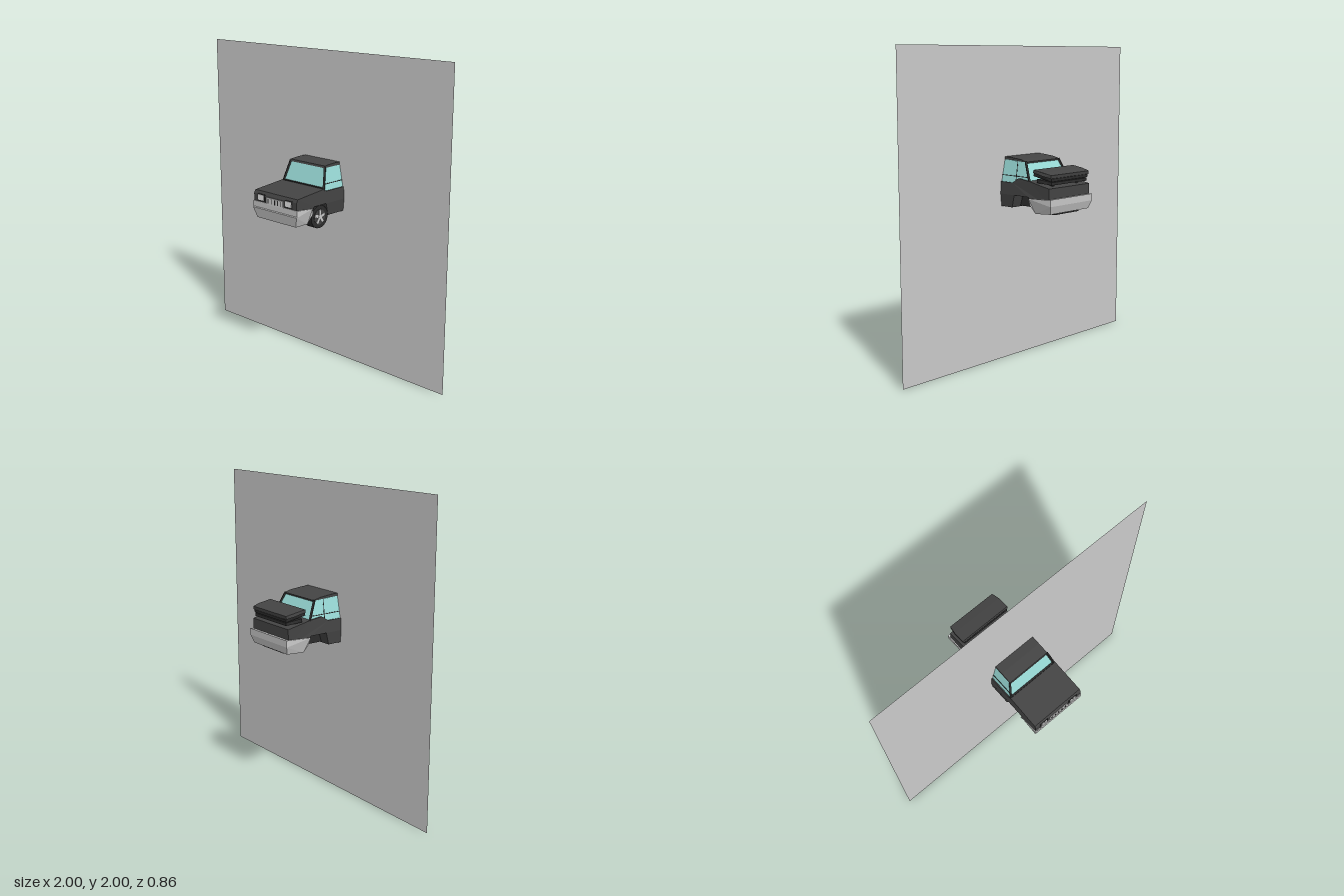
import * as THREE from 'three';

const mat = (name, color, side = THREE.FrontSide) => {
  const m = new THREE.MeshStandardMaterial({ color, side });
  m.name = name;
  return m;
};

export function createModel() {
  const paint = mat('charcoalPaint', 0x444444);
  const dark = mat('blackTrim', 0x2c2c2c);
  const silver = mat('silver', 0xcccccc);
  const lamp = mat('lampWhite', 0xe6e6e6);
  const glass = mat('tealGlass', 0x9adcd8);
  const panel = mat('panelGrey', 0xcccccc, THREE.DoubleSide);

  const car = new THREE.Group();
  car.name = 'carOnPanel';

  const add = (name, geometry, material, x = 0, y = 0, z = 0, parent = car) => {
    const mesh = new THREE.Mesh(geometry, material);
    mesh.name = name;
    mesh.position.set(x, y, z);
    parent.add(mesh);
    return mesh;
  };
  const box = (name, w, h, d, material, x, y, z, parent) =>
    add(name, new THREE.BoxGeometry(w, h, d), material, x, y, z, parent);

  // Side outline of [z, y] points swept across x; widthAt(y, z) scales the width
  const sweep = (name, outline, width, material, widthAt = () => 1) => {
    const shape = new THREE.Shape(outline.map(([z, y]) => new THREE.Vector2(z, y)));
    const g = new THREE.ExtrudeGeometry(shape, { depth: width, bevelEnabled: false });
    g.translate(0, 0, -width / 2).rotateY(-Math.PI / 2);
    const p = g.attributes.position;
    for (let i = 0; i < p.count; i++) p.setX(i, p.getX(i) * widthAt(p.getY(i), p.getZ(i)));
    g.computeVertexNormals();
    return add(name, g, material);
  };

  // Square bar between two points
  const bar = (name, a, b, t, material) => {
    const from = new THREE.Vector3(...a), to = new THREE.Vector3(...b);
    const m = box(name, t, t, from.distanceTo(to), material, 0, 0, 0);
    m.position.copy(from).lerp(to, 0.5);
    m.lookAt(to);
  };

  // Large flat panel crossing the middle of the car
  add('backPanel', new THREE.PlaneGeometry(2, 2), panel, 0, 1, 0);

  // Body with wheel arches
  sweep('body', [
    [0.42, 1.04], [0.42, 1.13], [0.41, 1.15], [0.175, 1.173], [0.16, 1.157],
    [-0.1, 1.157], [-0.15, 1.188], [-0.25, 1.177], [-0.41, 1.147], [-0.41, 1.04],
    [-0.26, 1.04], [-0.24, 1.08], [-0.12, 1.08], [-0.095, 1.0],
    [0.14, 1.0], [0.165, 1.08], [0.27, 1.08], [0.3, 1.04],
  ], 0.38, paint, (y) => (y > 1.08 ? 1 - (y - 1.08) * 0.3 : 1 - (1.08 - y) * 0.5));
  box('underbody', 0.22, 0.1, 0.68, dark, 0, 1.055, 0);

  // Wrap-around bumpers, narrowing below
  const bumperWidth = (y) => (y < 1.03 ? 1 - (1.03 - y) * 2.2 : 1);
  sweep('frontBumper', [
    [0.29, 1.07], [0.285, 1.04], [0.31, 0.974], [0.412, 0.974],
    [0.427, 1.04], [0.422, 1.045], [0.424, 1.083],
  ], 0.386, silver, bumperWidth);
  sweep('rearBumper', [
    [-0.245, 1.07], [-0.43, 1.083], [-0.428, 1.04], [-0.412, 0.99], [-0.285, 0.98],
    [-0.26, 1.03],
  ], 0.386, silver, bumperWidth);
  box('rearUnderTray', 0.22, 0.008, 0.09, dark, 0, 0.981, -0.345);

  // Glasshouse tapering toward the roof
  const cabinWidth = (y) => 1 - ((y - 1.15) / 0.15) * 0.17;
  sweep('windows', [
    [0.178, 1.15], [0.132, 1.298], [-0.18, 1.288], [-0.25, 1.15],
  ], 0.36, glass, cabinWidth);
  sweep('roof', [
    [0.14, 1.293], [0.136, 1.306], [0.06, 1.312], [-0.05, 1.31], [-0.14, 1.302],
    [-0.188, 1.29], [-0.185, 1.28], [-0.1, 1.293],
  ], 0.302, paint);
  for (const s of [-1, 1]) {
    bar('frontPillar', [s * 0.178, 1.16, 0.176], [s * 0.149, 1.3, 0.133], 0.012, dark);
    bar('rearPillar', [s * 0.178, 1.17, -0.241], [s * 0.149, 1.29, -0.182], 0.012, dark);
    bar('doorPillar', [s * 0.18, 1.16, -0.125], [s * 0.151, 1.292, -0.115], 0.004, dark);
    bar('windowRail', [s * 0.171, 1.198, 0.16], [s * 0.171, 1.198, -0.22], 0.004, dark);
  }
  box('windscreenSill', 0.34, 0.008, 0.012, dark, 0, 1.174, 0.175);

  // Stacked rear wing over the boot
  const wingWidth = (y, z) => 1 - Math.max(0, -0.36 - z) * 0.9;
  sweep('wingTop', [
    [-0.275, 1.232], [-0.278, 1.252], [-0.36, 1.24], [-0.416, 1.228], [-0.414, 1.208], [-0.36, 1.218],
  ], 0.366, paint, wingWidth);
  sweep('wingMiddle', [
    [-0.272, 1.213], [-0.274, 1.23], [-0.36, 1.216], [-0.412, 1.206], [-0.41, 1.188], [-0.36, 1.197],
  ], 0.35, dark, wingWidth);
  sweep('wingBase', [
    [-0.295, 1.172], [-0.295, 1.195], [-0.36, 1.19], [-0.41, 1.184], [-0.41, 1.166], [-0.36, 1.17],
  ], 0.34, dark, wingWidth);
  for (const s of [-1, 1]) box('wingSupport', 0.02, 0.07, 0.06, dark, s * 0.11, 1.18, -0.345);

  // Nose: headlights and slotted grille
  for (const s of [-1, 1]) {
    box('headlightFrame', 0.066, 0.048, 0.004, dark, s * 0.12, 1.11, 0.421);
    box('headlight', 0.048, 0.034, 0.008, lamp, s * 0.12, 1.112, 0.423);
  }
  box('grille', 0.145, 0.046, 0.006, silver, 0, 1.098, 0.422);
  for (let i = -2; i <= 2; i++) box('grilleSlot', 0.006, 0.03, 0.003, dark, i * 0.028, 1.1, 0.425);

  // Single front wheel with a five-spoke rim
  const wheel = new THREE.Group();
  wheel.name = 'frontWheel';
  wheel.position.set(0.152, 1.005, 0.22);
  car.add(wheel);
  const disc = (name, r, w, material, x) =>
    add(name, new THREE.CylinderGeometry(r, r, w, 20).rotateZ(-Math.PI / 2), material, x, 0, 0, wheel);
  disc('tyre', 0.073, 0.066, dark, 0);
  disc('rim', 0.048, 0.004, paint, 0.034);
  disc('hub', 0.014, 0.008, silver, 0.036);
  for (let i = 0; i < 5; i++) {
    const a = (i / 5) * Math.PI * 2;
    const spoke = box('spoke', 0.006, 0.042, 0.016, silver, 0.036, 0.024 * Math.cos(a), 0.024 * Math.sin(a), wheel);
    spoke.rotation.x = a;
  }
  return car;
}
